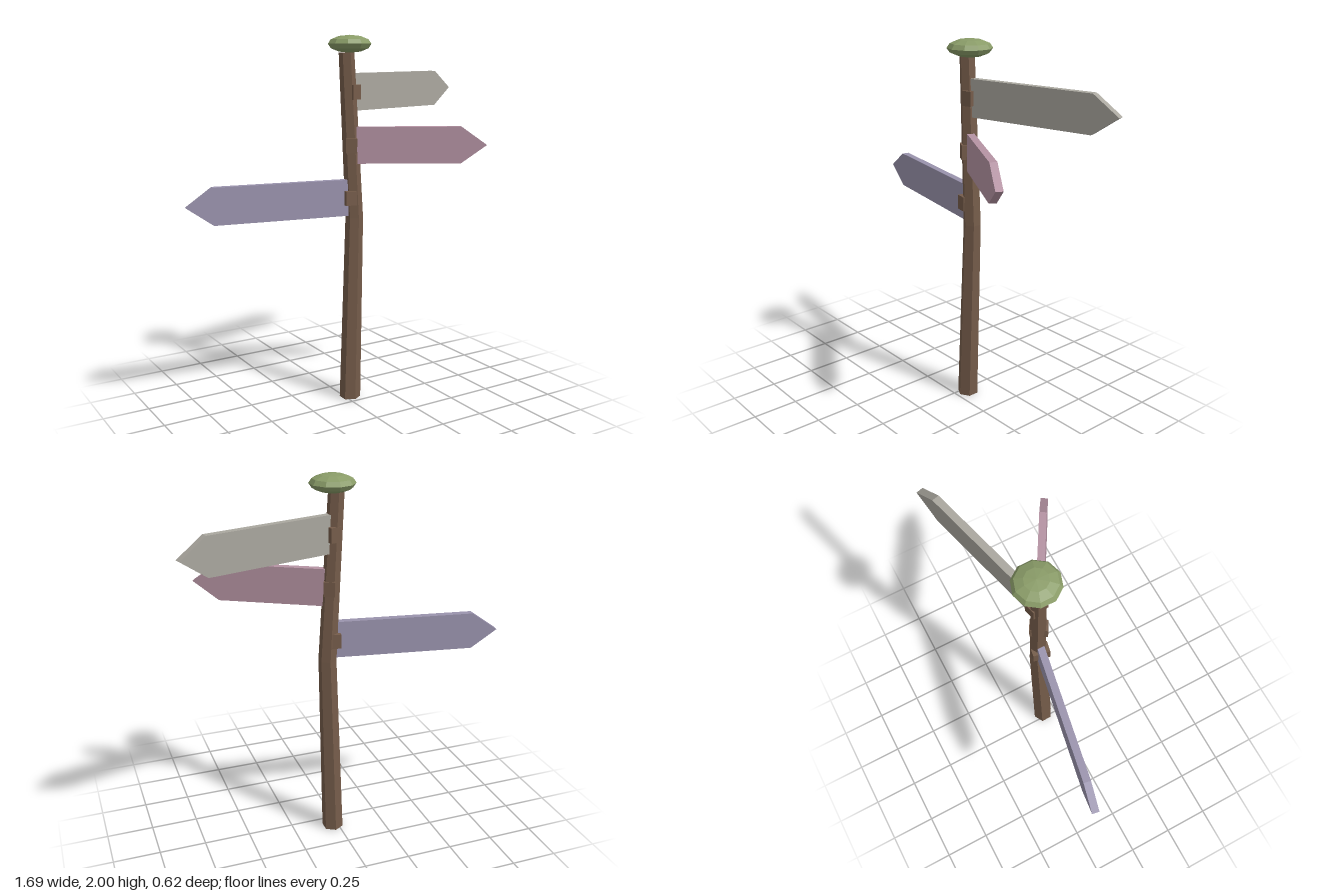
import * as THREE from 'three';

const AXIS = { x: 0.03, z: -0.075 };

function paint(color) {
  return new THREE.MeshStandardMaterial({ color, flatShading: true });
}

// Crooked six-sided post: three rings, the middle one pushed sideways
function makePost(material) {
  const rings = [
    { x: 0.03, y: 0, r: 0.058 },
    { x: 0.058, y: 1.03, r: 0.048 },
    { x: 0.01, y: 1.91, r: 0.041 },
  ];
  const geo = new THREE.CylinderGeometry(1, 1, 2, 6, 2);
  const pos = geo.attributes.position;
  for (let i = 0; i < pos.count; i++) {
    const ring = rings[Math.round(pos.getY(i)) + 1];
    pos.setXYZ(i, ring.x + pos.getX(i) * ring.r, ring.y, AXIS.z + pos.getZ(i) * ring.r);
  }
  geo.computeVertexNormals();
  const post = new THREE.Mesh(geo, material);
  post.name = 'post';
  return post;
}

// Flattened ten-sided knob on top
function makeCap() {
  const geo = new THREE.SphereGeometry(1, 10, 6);
  geo.rotateY(Math.PI / 2);
  geo.scale(0.117, 0.046, 0.117);
  const cap = new THREE.Mesh(geo, paint(0x8a9c68));
  cap.name = 'cap';
  cap.position.set(AXIS.x, 1.954, AXIS.z);
  return cap;
}

// Pointed board running along local +x, with the bracket holding it to the post
function makeSign(name, { y, length, degrees, color }, wood) {
  const h = 0.098, start = 0.015, head = 0.138, thick = 0.038;
  const shape = new THREE.Shape([
    new THREE.Vector2(start, -h),
    new THREE.Vector2(length - head, -h),
    new THREE.Vector2(length, 0),
    new THREE.Vector2(length - head, h),
    new THREE.Vector2(start, h),
  ]);
  const geo = new THREE.ExtrudeGeometry(shape, { depth: thick, bevelEnabled: false });
  geo.translate(0, 0, -thick / 2);
  const board = new THREE.Mesh(geo, paint(color));
  board.name = name + 'Board';

  const bracket = new THREE.Mesh(new THREE.BoxGeometry(0.06, 0.077, 0.092), wood);
  bracket.name = name + 'Bracket';
  bracket.position.x = 0.008;

  const sign = new THREE.Group();
  sign.name = name;
  sign.add(board, bracket);
  sign.position.set(AXIS.x, y, AXIS.z);
  sign.rotation.y = THREE.MathUtils.degToRad(degrees);
  return sign;
}

export function createModel() {
  const model = new THREE.Group();
  model.name = 'signpost';
  const wood = paint(0x755c4a);
  model.add(makePost(wood), makeCap());

  const signs = {
    topSign: { y: 1.705, length: 0.838, degrees: 15, color: 0xaaa79f },
    middleSign: { y: 1.425, length: 0.733, degrees: -30, color: 0xb593a3 },
    bottomSign: { y: 1.143, length: 0.888, degrees: 170, color: 0x9a93ad },
  };
  for (const [name, spec] of Object.entries(signs)) model.add(makeSign(name, spec, wood));
  return model;
}
